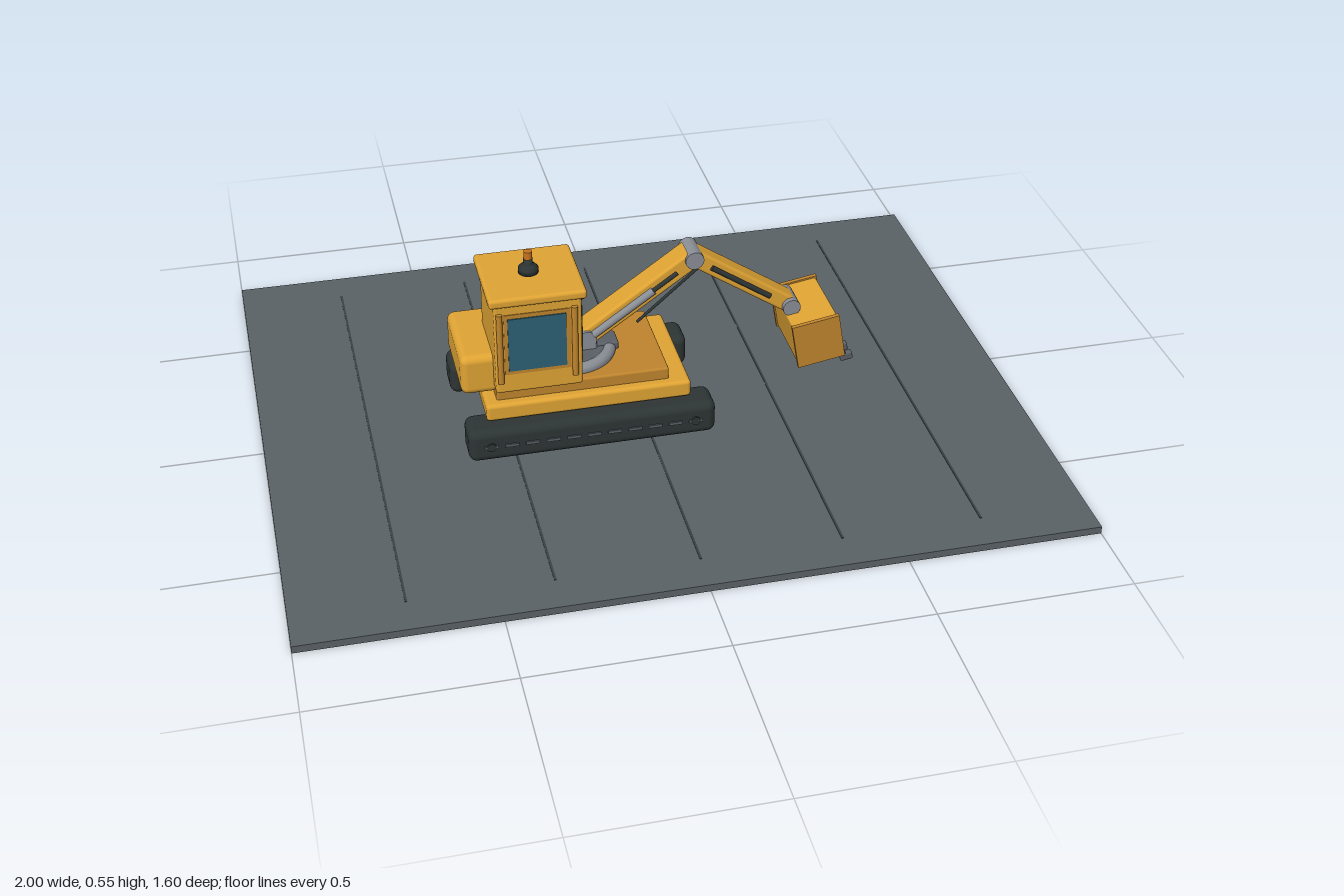
import * as THREE from 'three';
import { RoundedBoxGeometry } from 'three/addons/geometries/RoundedBoxGeometry.js';

const mat = (name, color) => {
  const m = new THREE.MeshStandardMaterial({ color });
  m.name = name;
  return m;
};

export function createModel() {
  const root = new THREE.Group();
  root.name = 'excavator';
  const yellow = mat('yellow paint', 0xe0a434);
  const ochre = mat('ochre paint', 0xc0852e);
  const dark = mat('dark rubber', 0x2d3534);
  const ground = mat('asphalt', 0x5a6266);
  const seam = mat('ground seam', 0x3c4245);
  const steel = mat('steel', 0x8a8f96);
  const darkSteel = mat('dark steel', 0x5a6066);
  const glass = mat('glass', 0x2d6074);
  const amber = mat('amber lamp', 0xc9741f);

  const add = (name, geo, material, x, y, z, parent = root) => {
    const m = new THREE.Mesh(geo, material);
    m.name = name;
    m.position.set(x, y, z);
    parent.add(m);
    return m;
  };
  // box given by its min and max on each axis, optionally with rounded edges
  const block = (name, material, [x0, x1], [y0, y1], [z0, z1], r = 0, parent = root) => {
    const s = [x1 - x0, y1 - y0, z1 - z0];
    const geo = r ? new RoundedBoxGeometry(...s, 3, r) : new THREE.BoxGeometry(...s);
    return add(name, geo, material, (x0 + x1) / 2, (y0 + y1) / 2, (z0 + z1) / 2, parent);
  };
  // box beam between two points of the arm plane
  const beam = (name, material, a, b, thick, width, z = 0, r = 0.008) => {
    const dx = b[0] - a[0], dy = b[1] - a[1], len = Math.hypot(dx, dy);
    const m = add(name, new RoundedBoxGeometry(len, thick, width, 2, r), material,
      (a[0] + b[0]) / 2, (a[1] + b[1]) / 2, z);
    m.rotation.z = Math.atan2(dy, dx);
    return m;
  };
  // round rod between two points
  const rod = (name, material, a, b, r) => {
    const p = new THREE.Vector3(...a), d = new THREE.Vector3(...b).sub(p);
    const m = add(name, new THREE.CylinderGeometry(r, r, d.length(), 16), material, 0, 0, 0);
    m.position.copy(p).addScaledVector(d, 0.5);
    m.quaternion.setFromUnitVectors(new THREE.Vector3(0, 1, 0), d.normalize());
    return m;
  };
  const pin = (name, x, y, r, half, material = steel) =>
    rod(name, material, [x, y, -half], [x, y, half], r);

  // ground slab with seams
  block('groundSlab', ground, [-1, 1], [0, 0.02], [-0.8, 0.8]);
  for (let i = -2; i <= 2; i++)
    block('groundSeam', seam, [i * 0.36 - 0.003, i * 0.36 + 0.003], [0.019, 0.0215], [-0.7, 0.7]);

  // tracks with side links, hubs and end cleats
  for (const s of [-1, 1]) {
    const z = s * 0.161;
    block('track', dark, [-0.487, 0.166], [0.03, 0.124], [z - 0.049, z + 0.049], 0.022);
    for (let i = 0; i < 11; i++) {
      const x = -0.43 + i * 0.054;
      block('trackLink', darkSteel, [x - 0.018, x + 0.018], [0.073, 0.081], [s * 0.211 - 0.003, s * 0.211 + 0.003]);
    }
    for (const x of [-0.43, 0.11])
      rod('trackHub', dark, [x, 0.077, s * 0.2], [x, 0.077, s * 0.215], 0.012);
  }

  // chassis and deck
  block('chassis', yellow, [-0.433, 0.107], [0.127, 0.175], [-0.17, 0.17], 0.01);
  block('deck', ochre, [-0.402, 0.053], [0.17, 0.208], [-0.145, 0.145], 0.006);

  // turntable
  add('turntable', new THREE.CylinderGeometry(0.105, 0.105, 0.022, 40), darkSteel, -0.185, 0.215, 0);
  const ring = add('turntableRing', new THREE.TorusGeometry(0.107, 0.018, 10, 48), steel, -0.185, 0.213, 0);
  ring.rotation.x = Math.PI / 2;

  // counterweight
  block('counterweight', yellow, [-0.488, -0.34], [0.183, 0.297], [-0.124, 0.122], 0.02);

  // cab
  block('cabBody', yellow, [-0.404, -0.178], [0.205, 0.47], [-0.052, 0.162], 0.008);
  block('cabRoof', yellow, [-0.417, -0.166], [0.466, 0.492], [-0.068, 0.174], 0.009);
  block('sideWindowFrame', ochre, [-0.38, -0.208], [0.262, 0.44], [0.16, 0.164]);
  block('sideWindow', glass, [-0.37, -0.22], [0.273, 0.428], [0.162, 0.167]);
  block('frontWindowFrame', ochre, [-0.18, -0.176], [0.268, 0.436], [-0.04, 0.15]);
  block('frontWindow', glass, [-0.178, -0.173], [0.278, 0.426], [-0.03, 0.14]);
  for (const x of [-0.391, -0.198])
    rod('cabPillar', ochre, [x, 0.24, 0.166], [x, 0.445, 0.166], 0.008);

  // work lamp on the cab front
  rod('workLampArm', dark, [-0.18, 0.405, 0.052], [-0.16, 0.405, 0.052], 0.007);
  const lamp = add('workLamp', new THREE.CylinderGeometry(0.008, 0.017, 0.018, 16), dark, -0.156, 0.405, 0.052);
  lamp.rotation.z = -Math.PI / 2;

  // roof beacon
  const profile = [[0, 0], [0.026, 0], [0.026, 0.014], [0.018, 0.022], [0.012, 0.026], [0.012, 0.04], [0, 0.04]];
  add('beaconBase', new THREE.LatheGeometry(profile.map(p => new THREE.Vector2(...p)), 24), dark, -0.294, 0.492, 0.052);
  add('beaconLamp', new THREE.CylinderGeometry(0.011, 0.011, 0.024, 20), amber, -0.294, 0.541, 0.052);

  // handrail along the right-hand deck edge
  rod('handrail', yellow, [-0.29, 0.253, -0.146], [-0.16, 0.253, -0.146], 0.005);
  for (const x of [-0.29, -0.16])
    rod('handrailPost', yellow, [x, 0.2, -0.146], [x, 0.253, -0.146], 0.005);
  block('toolBox', dark, [-0.26, -0.2], [0.205, 0.235], [-0.126, -0.105], 0.004);

  // boom and stick
  const foot = [-0.142, 0.255], elbow = [0.145, 0.458], wrist = [0.413, 0.277];
  block('boomBracket', steel, [-0.17, -0.115], [0.205, 0.262], [-0.04, 0.04], 0.008);
  block('slewMotor', darkSteel, [-0.12, -0.055], [0.208, 0.232], [-0.03, 0.03], 0.006);
  beam('boom', yellow, foot, elbow, 0.052, 0.07);
  beam('stick', yellow, elbow, wrist, 0.048, 0.056);
  pin('boomFootPin', ...foot, 0.026, 0.042);
  pin('elbowPin', ...elbow, 0.025, 0.042);
  pin('wristPin', ...wrist, 0.024, 0.042);

  // hydraulic cylinders on the arm sides
  const lerp = (a, b, t) => [a[0] + (b[0] - a[0]) * t, a[1] + (b[1] - a[1]) * t];
  for (const s of [-1, 1]) {
    const at = (a, b, t, z) => [...lerp(a, b, t), s * z];
    rod('boomCylinder', steel, at(foot, elbow, 0.06, 0.036), at(foot, elbow, 0.62, 0.036), 0.011);
    rod('boomPiston', dark, at(foot, elbow, 0.6, 0.036), at(foot, elbow, 0.84, 0.036), 0.006);
  }
  rod('stickPiston', dark, [...lerp(elbow, wrist, 0.18), 0.031], [...lerp(elbow, wrist, 0.78), 0.031], 0.007);
  rod('stickHose', dark, [0, 0.267, 0], [0.17, 0.417, 0], 0.004);

  // bucket with cheek plates and teeth
  const bucket = new THREE.Group();
  bucket.name = 'bucket';
  bucket.position.set(0.47, 0.205, 0);
  bucket.rotation.z = 0.17;
  root.add(bucket);
  block('bucketShell', yellow, [-0.062, 0.062], [-0.062, 0.062], [-0.1, 0.1], 0.006, bucket);
  for (const z of [-0.104, 0.104])
    block('bucketCheek', ochre, [-0.065, 0.065], [-0.065, 0.065], [z - 0.006, z + 0.006], 0, bucket);
  block('bucketLip', darkSteel, [0.045, 0.07], [-0.071, -0.06], [-0.098, 0.098], 0, bucket);
  for (let i = -2; i <= 2; i++)
    block('bucketTooth', darkSteel, [0.055, 0.089], [-0.092, -0.07], [i * 0.044 - 0.009, i * 0.044 + 0.009], 0.004, bucket);

  return root;
}
